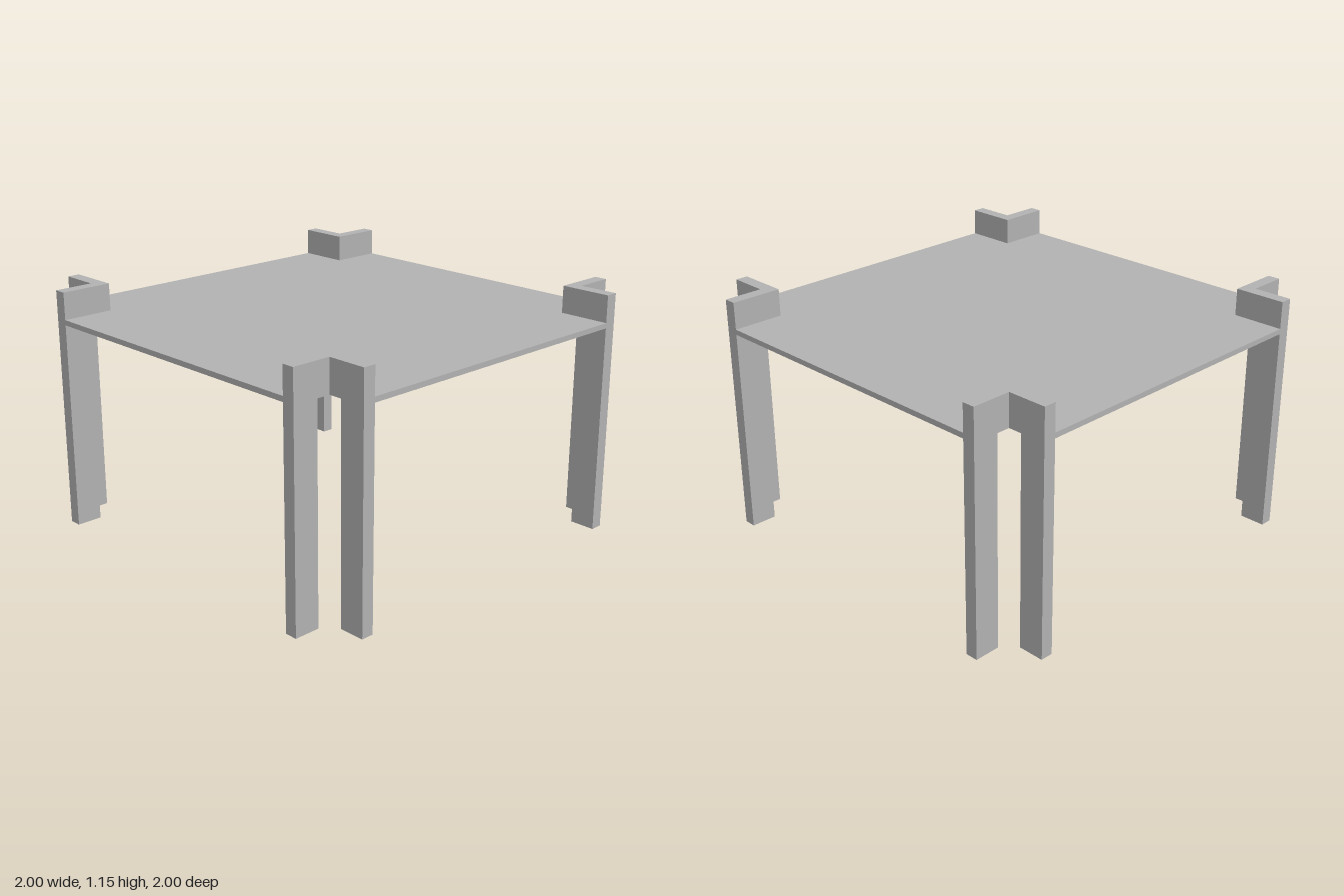
import * as THREE from 'three';

const INNER = 0.75, OUTER = 0.81, EDGE = 1;      // bracket faces and table edge
const UNDER = 1.0, TOP = 1.025, RIM = 1.155;     // heights of slab and bracket

function extrude(points, depth) {
  const shape = new THREE.Shape(points.map(([x, y]) => new THREE.Vector2(x, y)));
  return new THREE.ExtrudeGeometry(shape, { depth, bevelEnabled: false });
}

// Hooked board: a leg with a short arm at its top reaching in to the corner
function legBoard(start) {
  return extrude([
    [start, UNDER], [0.875, UNDER], [0.875, 0], [EDGE, 0], [EDGE, RIM], [start, RIM],
  ], OUTER - INNER);
}

export function createModel() {
  const model = new THREE.Group();
  model.name = 'table';
  const grey = new THREE.MeshStandardMaterial({ color: 0xb2b2b2 });
  grey.name = 'plain grey';

  // Thin square top with a notch at each corner
  const a = INNER, e = EDGE;
  const topGeometry = extrude([
    [-a, -e], [a, -e], [a, -a], [e, -a], [e, a], [a, a],
    [a, e], [-a, e], [-a, a], [-e, a], [-e, -a], [-a, -a],
  ], TOP - UNDER);
  topGeometry.rotateX(-Math.PI / 2).translate(0, UNDER, 0);
  const tableTop = new THREE.Mesh(topGeometry, grey);
  tableTop.name = 'tableTop';
  model.add(tableTop);

  // Two boards meet at a right angle in each corner
  const sideBoard = legBoard(INNER).translate(0, 0, INNER);
  const frontBoard = legBoard(OUTER).rotateY(-Math.PI / 2).translate(OUTER, 0, 0);
  const corners = ['cornerLegFrontLeft', 'cornerLegBackLeft', 'cornerLegBackRight', 'cornerLegFrontRight'];
  corners.forEach((name, i) => {
    const corner = new THREE.Group();
    corner.name = name;
    [sideBoard, frontBoard].forEach((geometry, k) => {
      const board = new THREE.Mesh(geometry, grey);
      board.name = k ? 'secondLegBoard' : 'firstLegBoard';
      corner.add(board);
    });
    corner.rotation.y = i * Math.PI / 2;
    model.add(corner);
  });
  return model;
}
